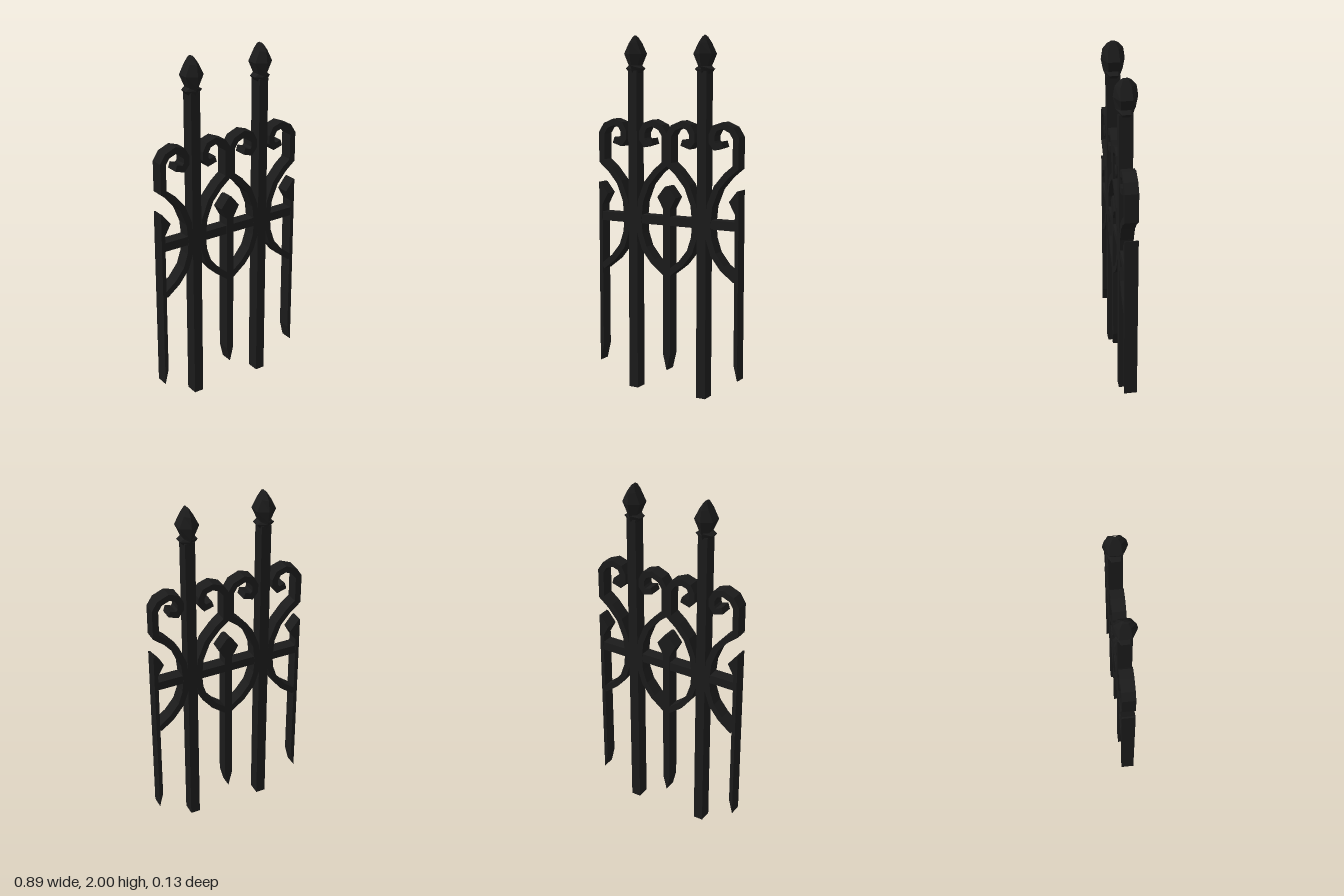
import * as THREE from 'three';

const iron = new THREE.MeshStandardMaterial({ color: 0x1b1b1b, flatShading: true });
const DEPTH = 0.074;
const POST_X = 0.218;

function add(parent, name, geometry, x = 0, y = 0) {
  const mesh = new THREE.Mesh(geometry, iron);
  mesh.name = name;
  mesh.position.set(x, y, 0);
  parent.add(mesh);
  return mesh;
}

// Flat bar cut from an outline, centred on z = 0
function plate(points) {
  const shape = new THREE.Shape(points.map(([x, y]) => new THREE.Vector2(x, y)));
  return new THREE.ExtrudeGeometry(shape, { depth: DEPTH, bevelEnabled: false })
    .translate(0, 0, -DEPTH / 2);
}

// Outline of a strip of constant width that follows a path, with mitred corners
function strip(path, halfWidth) {
  const pts = path.map(([x, y]) => new THREE.Vector2(x, y));
  const left = [], right = [];
  pts.forEach((p, i) => {
    const before = i > 0 ? p.clone().sub(pts[i - 1]).normalize() : null;
    const after = i < pts.length - 1 ? pts[i + 1].clone().sub(p).normalize() : null;
    const a = before || after, b = after || before;
    const tangent = a.clone().add(b).normalize();
    const reach = halfWidth / Math.max(0.5, tangent.dot(b));
    const nx = -tangent.y * reach, ny = tangent.x * reach;
    left.push([p.x + nx, p.y + ny]);
    right.unshift([p.x - nx, p.y - ny]);
  });
  return left.concat(right);
}

// Six-sided finial: rows of [height, half width, half depth]
function finialGeometry() {
  const rings = [
    [1.795, 0.028, 0.037], [1.808, 0.04, 0.042], [1.82, 0.05, 0.046], [1.835, 0.028, 0.052],
    [1.9, 0.055, 0.064], [1.96, 0.026, 0.055], [1.99, 0.01, 0.03], [2.0, 0.001, 0.01],
  ];
  const geometry = new THREE.LatheGeometry(rings.map(([y]) => new THREE.Vector2(1, y)), 6);
  const pos = geometry.attributes.position;
  for (let i = 0; i < pos.count; i++) {
    const [, w, d] = rings[i % rings.length];
    pos.setX(i, pos.getX(i) * w / Math.cos(Math.PI / 6));
    pos.setZ(i, pos.getZ(i) * d);
  }
  geometry.computeVertexNormals();
  return geometry;
}

// Centre line of one scroll, measured outwards from its post
const scrollPath = [
  [0.206, 0.69], [0.129, 0.75], [0.073, 0.82], [0.046, 0.9], [0.039, 0.98], [0.05, 1.085],
  [0.09, 1.185], [0.15, 1.255], [0.205, 1.3], [0.205, 1.458], [0.178, 1.5], [0.125, 1.522],
  [0.08, 1.507], [0.06, 1.47], [0.06, 1.432], [0.08, 1.407], [0.125, 1.421],
];

// Right half of a picket outline, bottom to top
const picketHalf = [
  [0, 0.13], [0.022, 0.22], [0.022, 1.05], [0.058, 1.115], [0.01, 1.175], [0, 1.178],
];

export function createModel() {
  const model = new THREE.Group();
  model.name = 'fencePanel';

  for (const side of [-1, 1]) {
    const bay = new THREE.Group();
    bay.name = side > 0 ? 'leftBay' : 'rightBay';
    model.add(bay);

    // Tall post with its finial
    add(bay, 'post', new THREE.BoxGeometry(0.056, 1.81, DEPTH), side * POST_X, 0.905);
    add(bay, 'finial', finialGeometry(), side * POST_X);

    // A pair of scrolls mirrored about the post
    for (const dir of [-1, 1]) {
      const path = scrollPath.map(([x, y]) => [side * POST_X + dir * x, y]);
      add(bay, dir === side ? 'outerScroll' : 'innerScroll', plate(strip(path, 0.0175)));
    }

    // Half picket at the end of the panel
    add(bay, 'endPicket', plate(picketHalf.map(([x, y]) => [side * (0.443 - x), y])));
  }

  // Full picket in the middle
  const mirrored = picketHalf.slice(1, -1).reverse().map(([x, y]) => [-x, y]);
  add(model, 'middlePicket', plate(picketHalf.concat(mirrored)));

  // Horizontal rail
  add(model, 'rail', new THREE.BoxGeometry(0.86, 0.05, 0.07), 0, 0.983);

  return model;
}
